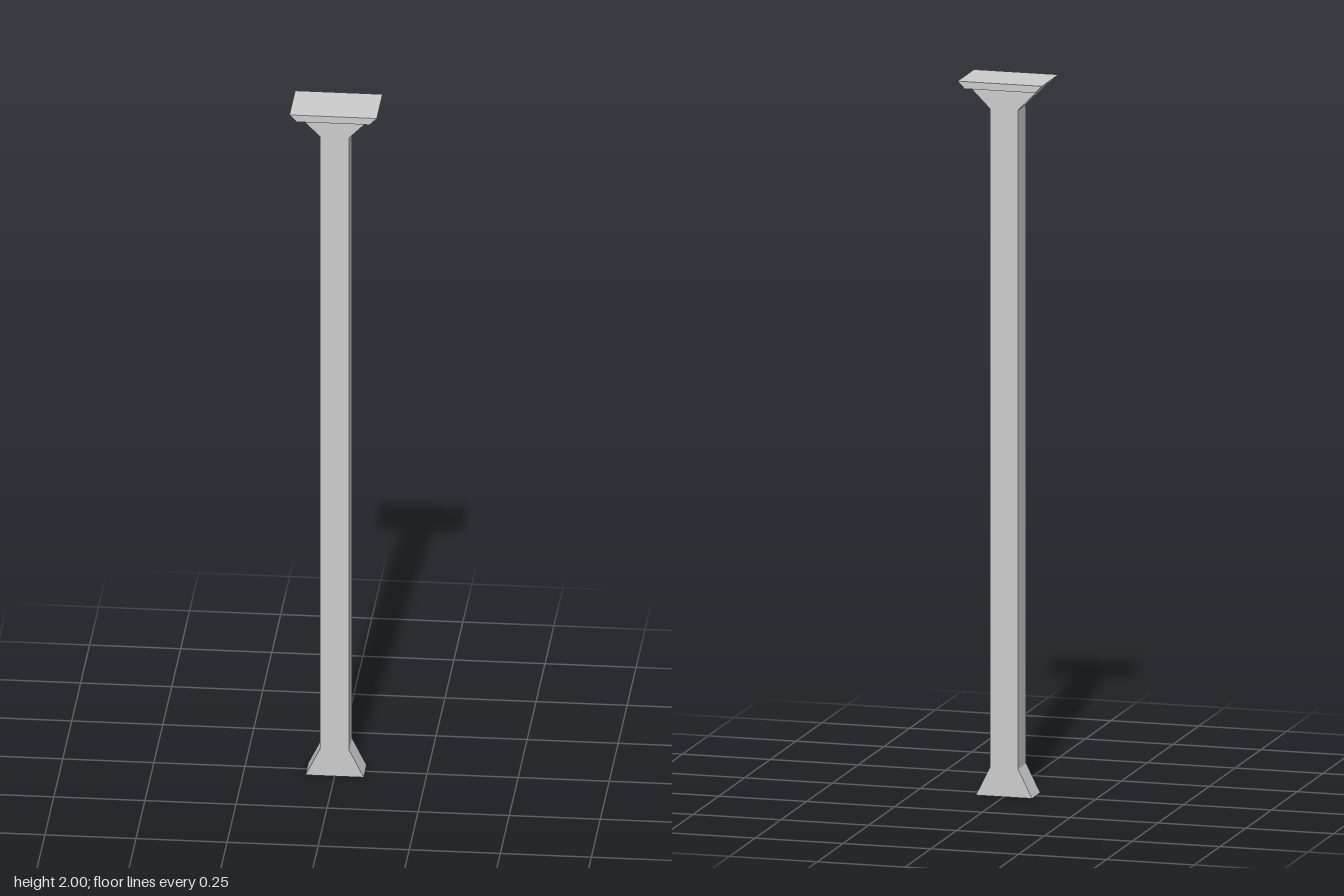
import * as THREE from 'three';

const material = new THREE.MeshStandardMaterial({ color: 0xcccccc, flatShading: true });

// Extrudes a left-right symmetric outline, given as [halfWidth, y] from bottom to top, centred on z
function symmetricPrism(name, halfOutline, depth) {
  const right = halfOutline.map(([x, y]) => new THREE.Vector2(x, y));
  const left = halfOutline.map(([x, y]) => new THREE.Vector2(-x, y)).reverse();
  const geometry = new THREE.ExtrudeGeometry(new THREE.Shape([...right, ...left]), {
    depth,
    bevelEnabled: false,
  });
  geometry.translate(0, 0, -depth / 2);
  const mesh = new THREE.Mesh(geometry, material);
  mesh.name = name;
  return mesh;
}

export function createModel() {
  const group = new THREE.Group();
  group.name = 'post';

  // Square shaft with a flared foot and a flared neck
  group.add(symmetricPrism('shaft', [[0.08, 0], [0.04, 0.08], [0.04, 1.92], [0.1, 1.98]], 0.08));

  // Thin cap plate, deeper than the shaft, continuing the slope of the neck
  group.add(symmetricPrism('capPlate', [[0.1, 1.98], [0.12, 2]], 0.16));

  return group;
}
